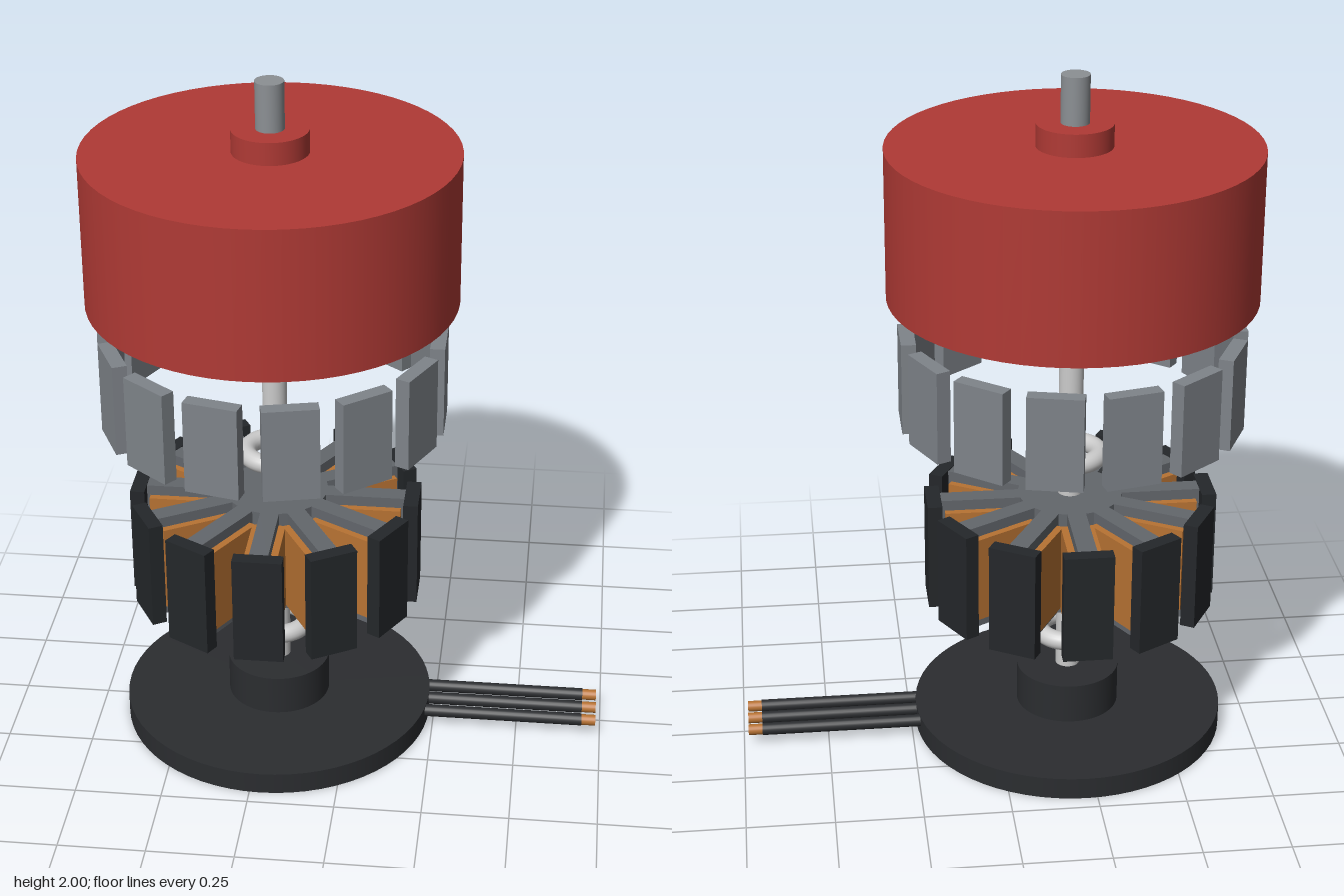
import * as THREE from 'three';

const AXIS_X = -0.22;
const SEG = 64;
const mat = (color, side = THREE.FrontSide) => {
  const m = new THREE.MeshStandardMaterial({ color });
  m.side = side;
  return m;
};

const black = mat(0x2b2d30);
const shoeDark = mat(0x24272a);
const steel = mat(0x63676c);
const magnetGrey = mat(0x7f848a);
const shaftGrey = mat(0xcccccc);
const tipGrey = mat(0x8c9094);
const copper = mat(0xb87333);
const red = mat(0xb03a35);
const redShell = mat(0xb03a35, THREE.DoubleSide);

function add(parent, name, geometry, material) {
  const mesh = new THREE.Mesh(geometry, material);
  mesh.name = name;
  parent.add(mesh);
  return mesh;
}

// upright cylinder between two heights
function drum(parent, name, r, y0, y1, material, open = false) {
  const g = new THREE.CylinderGeometry(r, r, y1 - y0, SEG, 1, open);
  g.translate(0, (y0 + y1) / 2, 0);
  return add(parent, name, g, material);
}

// ring of boxes spanning radii r0..r1 and heights y0..y1
function boxRing(parent, name, count, start, width, r0, r1, y0, y1, material) {
  const ring = new THREE.Group();
  ring.name = name + 'Ring';
  const g = new THREE.BoxGeometry(width, y1 - y0, r1 - r0);
  g.translate(0, (y0 + y1) / 2, (r0 + r1) / 2);
  for (let i = 0; i < count; i++) {
    add(ring, name, g, material).rotation.y = start + (i / count) * Math.PI * 2;
  }
  parent.add(ring);
}

// star outline: a hub with straight arms
function starShape(count, hubR, armR, halfWidth) {
  const pts = [];
  const rootR = Math.sqrt(hubR * hubR - halfWidth * halfWidth);
  const corners = [[rootR, -halfWidth], [armR, -halfWidth], [armR, halfWidth], [rootR, halfWidth]];
  for (let i = 0; i < count; i++) {
    const a = (i / count) * Math.PI * 2;
    const c = Math.cos(a), s = Math.sin(a);
    for (const [u, v] of corners) pts.push(new THREE.Vector2(u * c - v * s, u * s + v * c));
  }
  return new THREE.Shape(pts);
}

export function createModel() {
  const model = new THREE.Group();
  model.name = 'explodedMotor';
  const motor = new THREE.Group();
  motor.name = 'motorStack';
  motor.position.x = AXIS_X;
  model.add(motor);

  // mounting base
  drum(motor, 'basePlate', 0.455, 0, 0.065, black);
  drum(motor, 'baseHub', 0.15, 0.065, 0.185, black);

  // shaft
  drum(motor, 'shaft', 0.035, 0.185, 1.8, shaftGrey);
  drum(motor, 'shaftTip', 0.04, 1.865, 2, tipGrey);

  // bearings
  for (const y of [0.3, 0.875]) {
    const g = new THREE.TorusGeometry(0.0825, 0.0275, 20, SEG);
    g.rotateX(Math.PI / 2);
    add(motor, 'bearing', g, shaftGrey).position.y = y;
  }

  // stator: core, windings and pole shoes
  const stator = new THREE.Group();
  stator.name = 'stator';
  motor.add(stator);
  const core = new THREE.ExtrudeGeometry(starShape(12, 0.15, 0.38, 0.027), {
    depth: 0.32, bevelEnabled: false,
  });
  core.rotateX(-Math.PI / 2);
  core.translate(0, 0.433, 0);
  add(stator, 'statorCore', core, steel);
  boxRing(stator, 'winding', 12, 0, 0.095, 0.16, 0.365, 0.467, 0.722, copper);
  boxRing(stator, 'poleShoe', 12, 0, 0.14, 0.375, 0.417, 0.432, 0.755, shoeDark);

  // magnets, one centred on +x
  boxRing(motor, 'magnet', 14, Math.PI / 2, 0.155, 0.444, 0.486, 0.995, 1.265, magnetGrey);

  // rotor bell, open below
  const bell = new THREE.Group();
  bell.name = 'rotorBell';
  motor.add(bell);
  drum(bell, 'bellWall', 0.52, 1.37, 1.8, redShell, true);
  const cap = new THREE.CircleGeometry(0.52, SEG);
  cap.rotateX(-Math.PI / 2);
  add(bell, 'bellTop', cap, redShell).position.y = 1.8;
  drum(bell, 'bellCollar', 0.107, 1.8, 1.865, red);

  // three leads with bare ends
  const lead = (name, r, x0, x1, z, material) => {
    const g = new THREE.CylinderGeometry(r, r, x1 - x0, 20);
    g.rotateZ(Math.PI / 2);
    add(model, name, g, material).position.set((x0 + x1) / 2, 0.046, z);
  };
  for (const z of [-0.065, 0, 0.065]) {
    lead('wire', 0.018, 0.18, 0.695, z, black);
    lead('wireEnd', 0.016, 0.69, 0.736, z, copper);
  }
  return model;
}
